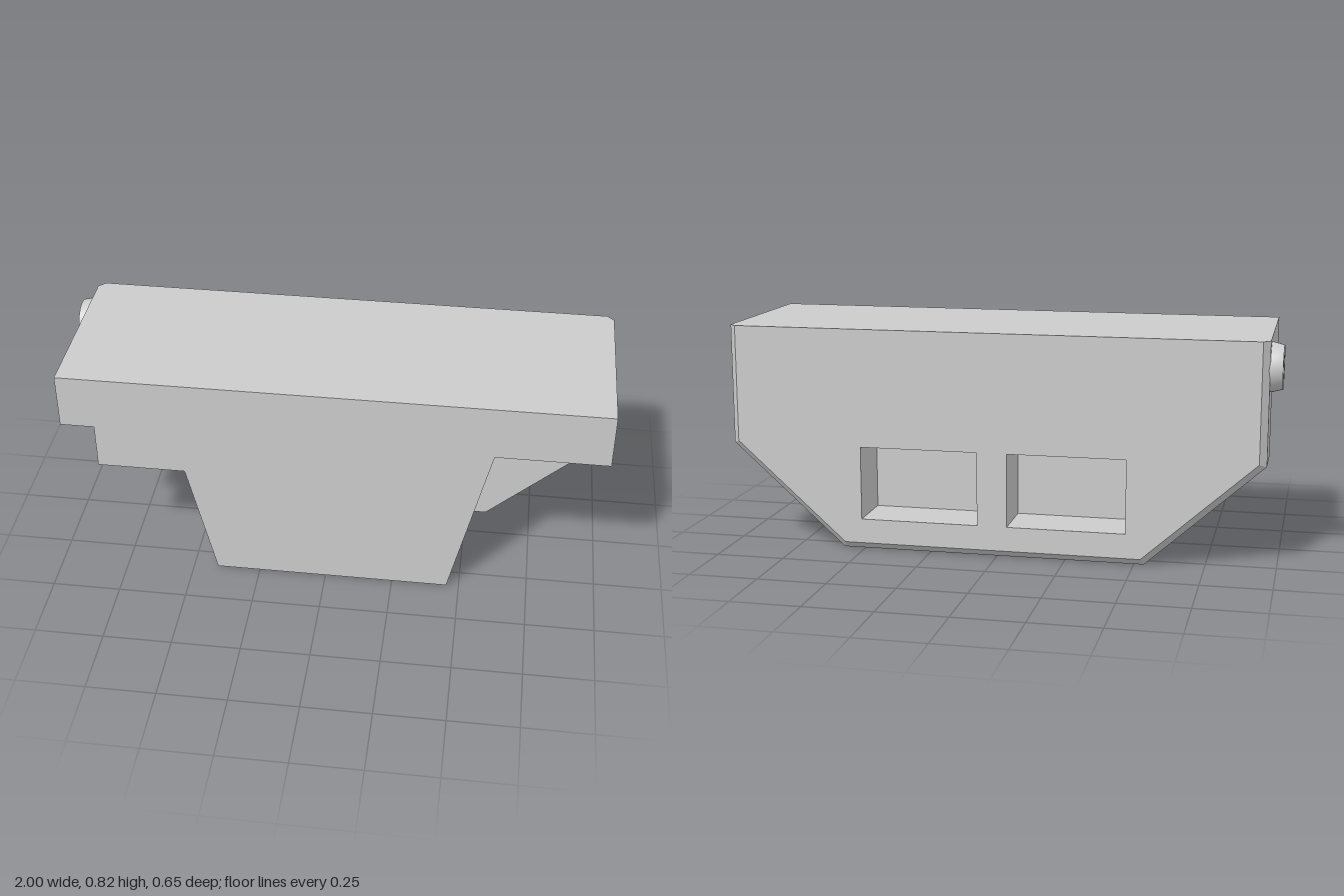
import * as THREE from 'three';
import { toCreasedNormals } from 'three/addons/utils/BufferGeometryUtils.js';

const material = new THREE.MeshStandardMaterial({ color: 0xcccccc });
const L = -0.957; // left-hand end of the block
const shapeOf = (pts) => new THREE.Shape(pts.map(([x, y]) => new THREE.Vector2(x, y)));

function slab(shape, zBack, zFront, steps = 1) {
  const g = new THREE.ExtrudeGeometry(shape, { depth: zFront - zBack, steps, bevelEnabled: false });
  return g.translate(0, 0, zBack);
}

export function createModel() {
  const group = new THREE.Group();
  const add = (name, geometry) => {
    const mesh = new THREE.Mesh(geometry, material);
    mesh.name = name;
    group.add(mesh);
    return mesh;
  };

  // Front body: wide stepped top with a tapering foot
  add('frontBody', slab(shapeOf([
    [L, 0.818], [L, 0.615], [-0.833, 0.615], [-0.833, 0.445], [-0.513, 0.445],
    [-0.41, 0], [0.454, 0], [0.597, 0.615], [1, 0.615], [1, 0.818],
  ]), -0.12, 0.325));

  // Back plate outline and its inset for the chamfer (top edge stays sharp)
  const outline = [[L, 0.818], [L, 0.378], [-0.535, 0], [0.58, 0], [1, 0.378], [1, 0.818]];
  const inset = [[L + 0.025, 0.818], [L + 0.025, 0.389], [-0.525, 0.025], [0.57, 0.025], [0.975, 0.389], [0.975, 0.818]];

  // Back plate with two rectangular pockets
  const plate = shapeOf(outline);
  for (const [x0, x1] of [[-0.47, -0.04], [0.07, 0.505]]) {
    plate.holes.push(new THREE.Path([[x0, 0.115], [x0, 0.385], [x1, 0.385], [x1, 0.115]]
      .map(([x, y]) => new THREE.Vector2(x, y))));
  }
  const plateGeometry = slab(plate, -0.325, -0.125, 2);
  const pos = plateGeometry.attributes.position;
  for (let i = 0; i < pos.count; i++) {
    const z = pos.getZ(i);
    if (z > -0.31 && z < -0.14) pos.setZ(i, -0.3); // start of the chamfer
    if (z > -0.31) continue;
    const k = outline.findIndex(([x, y]) => Math.hypot(x - pos.getX(i), y - pos.getY(i)) < 1e-4);
    if (k >= 0) pos.setXY(i, inset[k][0], inset[k][1]);
  }
  plateGeometry.computeVertexNormals();
  add('backPlate', plateGeometry);

  // Thin wall closing the pockets
  add('pocketFloor', slab(shapeOf(outline), -0.125, -0.12));

  // Tapered ring connector on the end face
  const profile = [[0.043, -0.01], [0.088, -0.01], [0.088, 0.003], [0.078, 0.043], [0.043, 0.043], [0.043, -0.01]]
    .map(([r, y]) => new THREE.Vector2(r, y));
  const connector = add('connector', toCreasedNormals(new THREE.LatheGeometry(profile, 40), 0.5));
  connector.rotation.z = Math.PI / 2;
  connector.position.set(L, 0.716, -0.216);

  return group;
}
